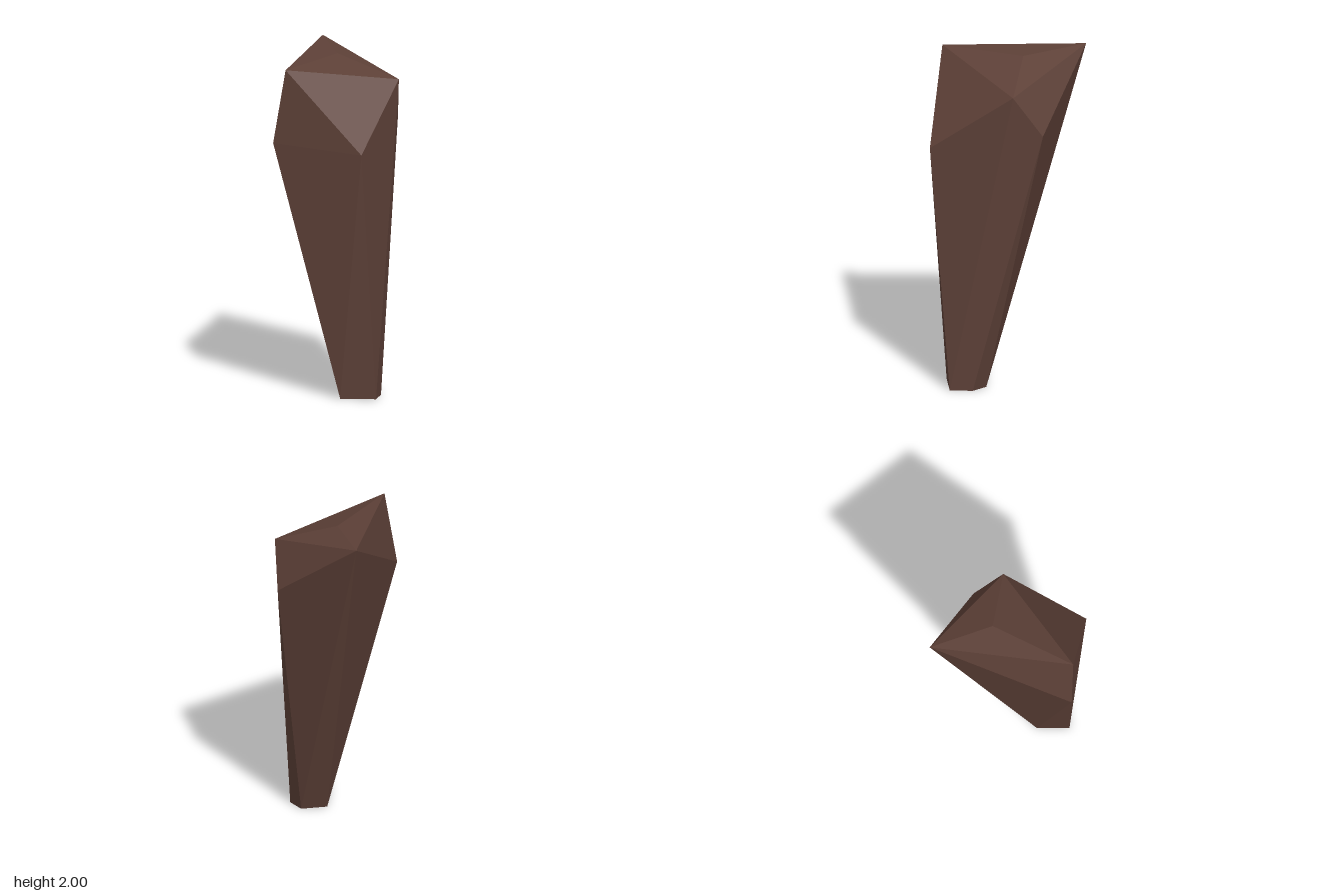
import * as THREE from 'three';
import { ConvexGeometry } from 'three/addons/geometries/ConvexGeometry.js';

export function createModel() {
  const group = new THREE.Group();
  group.name = 'rockShard';

  const rock = new THREE.MeshStandardMaterial({ color: 0x5d4037 });
  rock.name = 'brown rock';

  // five-sided foot on the ground
  const foot = [
    [0.05, 0, 0.36], [0.26, 0, 0.345], [0.27, 0, 0.21], [0.2, 0, 0.13], [0.05, 0, 0.17],
  ];
  // wide shoulder where the shard stops flaring
  const shoulder = [[-0.345, 1.52, 0.37], [0.19, 1.48, 0.46], [0.312, 1.59, -0.2]];
  // slanted crown with a low central peak
  const crown = [
    [-0.27, 1.96, 0.38], [0.342, 1.84, -0.025], [-0.17, 2, -0.46], [-0.03, 1.972, -0.09],
  ];

  // flat facets wrapped around the corners
  const corners = [...foot, ...shoulder, ...crown].map((p) => new THREE.Vector3(...p));
  const shard = new THREE.Mesh(new ConvexGeometry(corners), rock);
  shard.name = 'shard';
  group.add(shard);
  return group;
}
